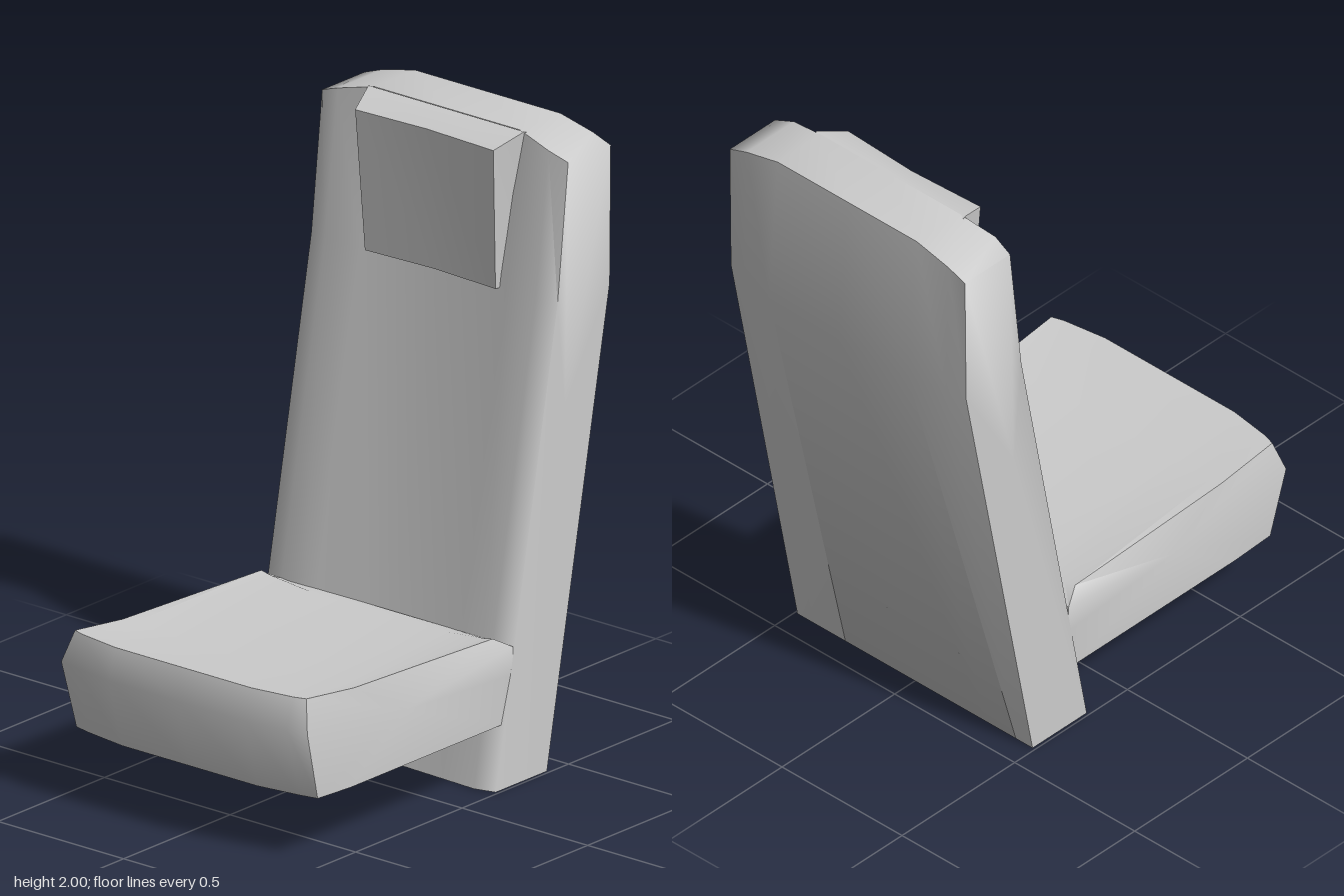
import * as THREE from 'three';
import { toCreasedNormals } from 'three/addons/utils/BufferGeometryUtils.js';

const material = new THREE.MeshStandardMaterial({ color: 0xcccccc });

// Skins closed side profiles (front edge going up, back edge going down) set along x, and caps both ends.
function loft(name, stations, profileAt, crease) {
  const rings = stations.map(profileAt);
  const n = rings[0].length;
  const tris = [];
  const centre = (ring) => [0, 1, 2].map((k) => ring.reduce((s, p) => s + p[k], 0) / n);
  const first = rings[0], last = rings[rings.length - 1];
  const c0 = centre(first), c1 = centre(last);
  for (let j = 0; j < n; j++) {
    const k = (j + 1) % n;
    for (let i = 0; i < rings.length - 1; i++) {
      const a = rings[i][j], b = rings[i][k], c = rings[i + 1][j], d = rings[i + 1][k];
      tris.push(a, c, b, b, c, d);
    }
    tris.push(c0, first[j], first[k], c1, last[k], last[j]);
  }
  const geometry = new THREE.BufferGeometry();
  geometry.setAttribute('position', new THREE.Float32BufferAttribute(tris.flat(), 3));
  const mesh = new THREE.Mesh(toCreasedNormals(geometry, crease), material);
  mesh.name = name;
  return mesh;
}

// Mirrors half-width stations to a full symmetric list from -x to +x
const mirror = (half) => [...half.map((s) => ({ ...s, x: -s.x })), ...half.slice(0, -1).reverse()];

export function createModel() {
  const group = new THREE.Group();
  group.name = 'carSeat';

  // Backrest: leaning slab, shallow valley down the front, slightly crowned back
  const backStations = mirror([
    { x: 0.49, f0: -0.17, f1: -0.46, f2: -0.51, top: 1.945, b1: -0.705 },
    { x: 0.42, f0: -0.15, f1: -0.44, f2: -0.50, top: 1.97, b1: -0.72 },
    { x: 0.29, f0: -0.155, f1: -0.455, f2: -0.52, top: 2, b1: -0.75 },
    { x: 0, f0: -0.165, f1: -0.48, f2: -0.52, top: 2, b1: -0.75 },
  ]);
  group.add(loft('backrest', backStations, (s) => [
    [s.x, 0, s.f0], [s.x, 1.5, s.f1], [s.x, s.top, s.f2],
    [s.x, s.top, -0.71], [s.x, 1.5, s.b1], [s.x, 0, -0.41],
  ], 1.35));

  // Headrest: tapered pad standing out of the upper backrest
  const headStations = mirror([{ x: 1, in: 0 }, { x: 0, in: 0.013 }]);
  group.add(loft('headrest', headStations, (s) => [
    [s.x * 0.26, 1.5, -0.44 - s.in], [s.x * 0.275, 1.96, -0.412 - s.in], [s.x * 0.31, 2, -0.515],
    [s.x * 0.31, 1.97, -0.6], [s.x * 0.27, 1.5, -0.55],
  ], 0.9));

  // Seat cushion: raised front lip, hollowed top, bowed front and rounded sides
  const seatStations = mirror([
    { x: 0.49, bow: 0.035, dip: 0, side: 1 },
    { x: 0.42, bow: 0.022, dip: 0.008, side: 0 },
    { x: 0.27, bow: 0, dip: 0.022, side: 0 },
    { x: 0, bow: 0, dip: 0.026, side: 0 },
  ]);
  group.add(loft('seatCushion', seatStations, (s) => {
    const topX = s.x * (1 - 0.06 * s.side), lowX = s.x * (1 - 0.02 * s.side);
    return [
      [lowX, 0.205, 0.5], [lowX, 0.213, 0.69 - s.bow],
      [s.x, 0.44, 0.75 - s.bow], [topX, 0.54, 0.72 - s.bow],
      [topX, 0.512 - s.dip * 0.4, 0.46], [topX, 0.485 - s.dip, -0.19],
      [s.x, 0.45, -0.25], [s.x, 0.36, -0.25], [lowX, 0.205, -0.21],
    ];
  }, 1.1));

  return group;
}
